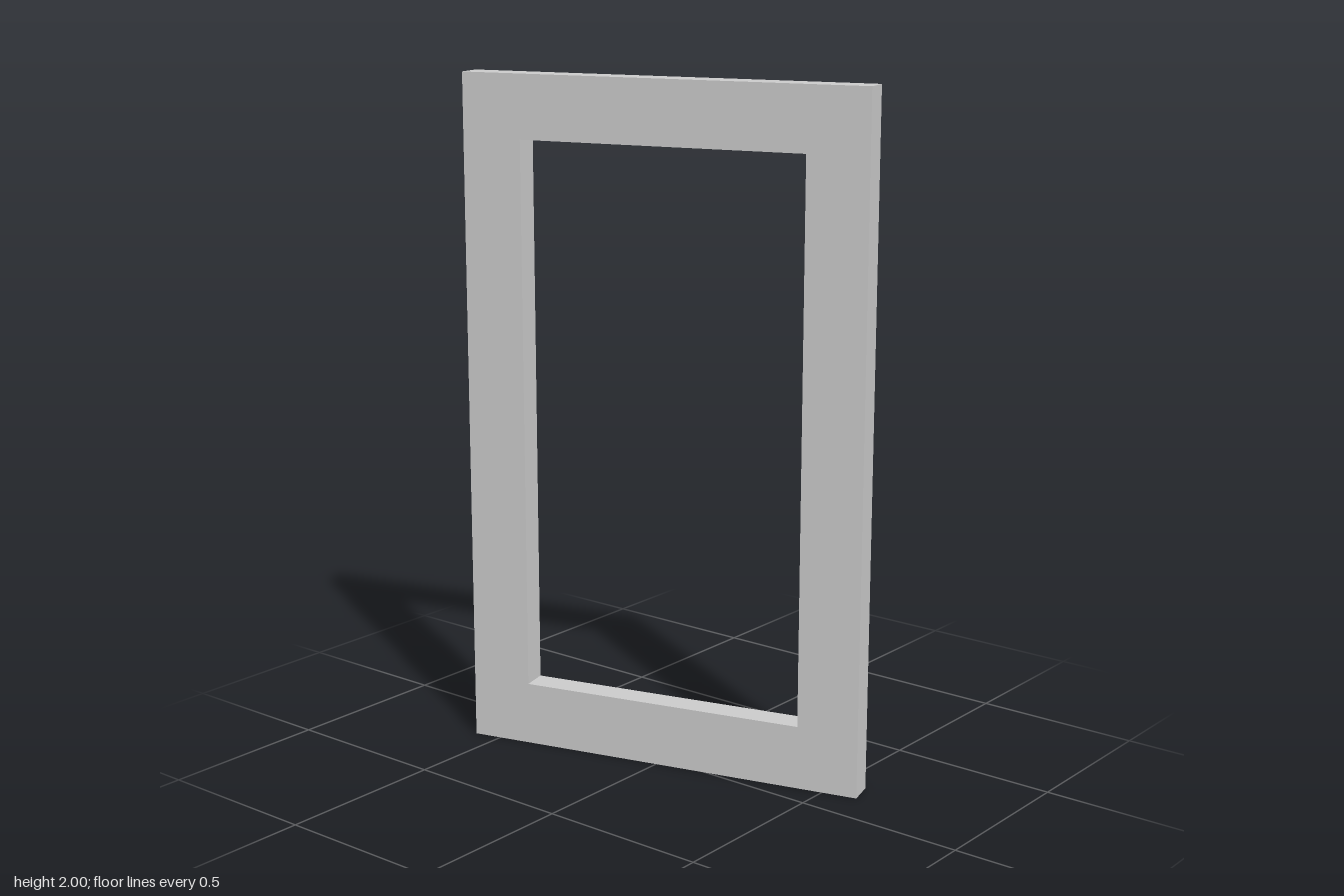
import * as THREE from 'three';

const WIDTH = 1.222, HEIGHT = 2, DEPTH = 0.08;
const OPEN_WIDTH = 0.86, OPEN_BOTTOM = 0.187, OPEN_TOP = 1.815;

// Traces a rectangle centred on x = 0 into a shape or path
function rect(path, width, bottom, top) {
  const h = width / 2;
  path.moveTo(-h, bottom);
  path.lineTo(h, bottom);
  path.lineTo(h, top);
  path.lineTo(-h, top);
  path.closePath();
  return path;
}

export function createModel() {
  const group = new THREE.Group();
  group.name = 'windowFrame';

  // Flat rectangular frame with one opening
  const outline = rect(new THREE.Shape(), WIDTH, 0, HEIGHT);
  outline.holes.push(rect(new THREE.Path(), OPEN_WIDTH, OPEN_BOTTOM, OPEN_TOP));
  const geometry = new THREE.ExtrudeGeometry(outline, { depth: DEPTH, bevelEnabled: false });
  geometry.translate(0, 0, -DEPTH / 2);

  const frame = new THREE.Mesh(geometry, new THREE.MeshStandardMaterial({ color: 0xcccccc }));
  frame.name = 'frame';
  // The frame stands turned a little about the vertical
  frame.rotation.y = THREE.MathUtils.degToRad(15);
  group.add(frame);
  return group;
}
